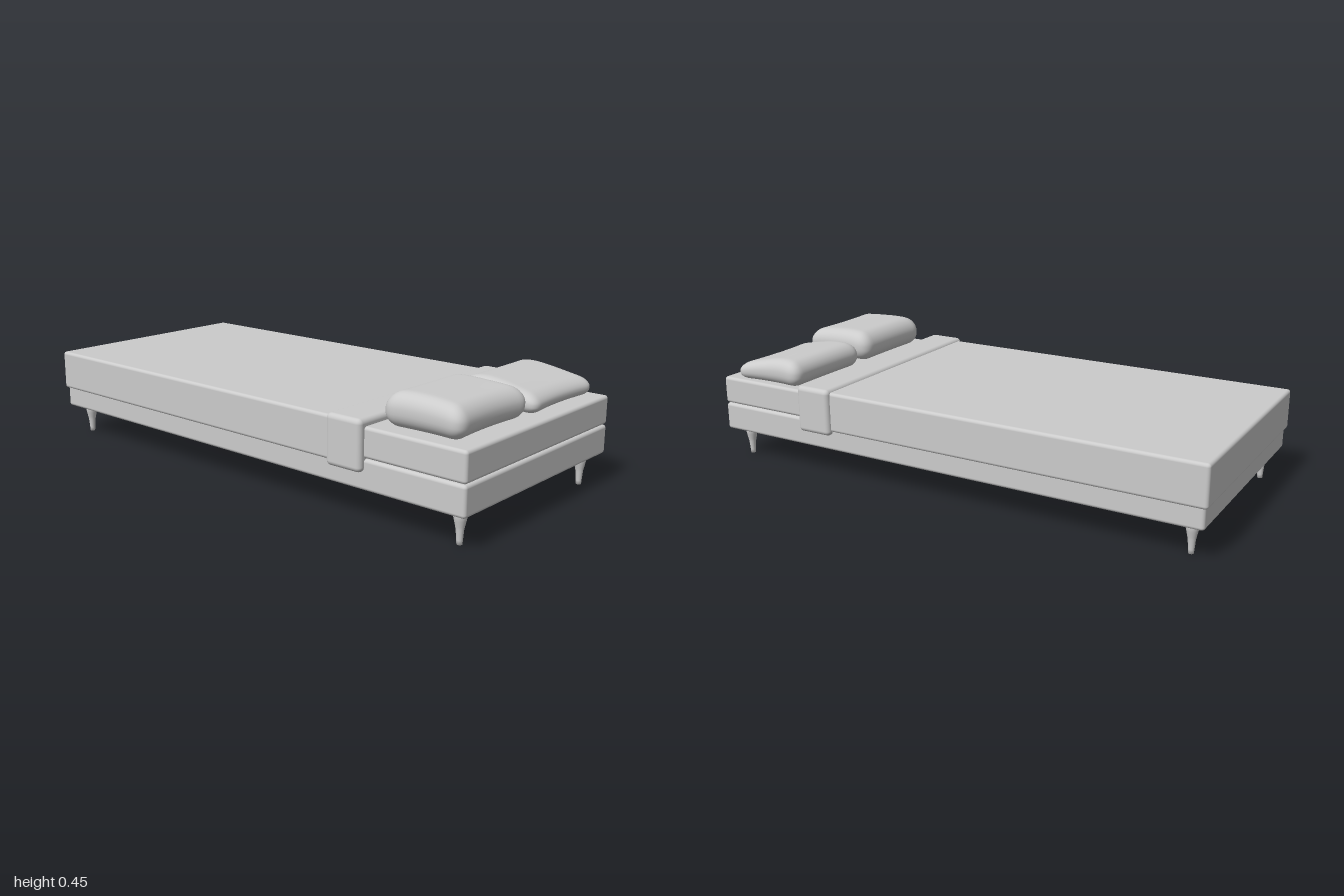
import * as THREE from 'three';
import { RoundedBoxGeometry } from 'three/addons/geometries/RoundedBoxGeometry.js';
import { mergeVertices } from 'three/addons/utils/BufferGeometryUtils.js';

const material = new THREE.MeshStandardMaterial({ color: 0xcccccc });

function add(group, name, geometry, x = 0, y = 0, z = 0) {
  const mesh = new THREE.Mesh(geometry, material);
  mesh.name = name;
  mesh.position.set(x, y, z);
  group.add(mesh);
  return mesh;
}

// Soft-edged block given by half width, y range and z range
function block(group, name, halfX, y0, y1, z0, z1, radius) {
  const geometry = new RoundedBoxGeometry(halfX * 2, y1 - y0, z1 - z0, 4, radius);
  add(group, name, geometry, 0, (y0 + y1) / 2, (z0 + z1) / 2);
}

// Cushion: rounded block with pinched sides and a top sloping down to the front
function pillowGeometry(width, height, depth, frontDrop) {
  const half = new THREE.Vector3(width / 2, height / 2, depth / 2);
  const radius = height * 0.46;
  const inner = half.clone().subScalar(radius);
  let geometry = new THREE.BoxGeometry(width, height, depth, 32, 12, 28);
  geometry.deleteAttribute('normal');
  geometry.deleteAttribute('uv');
  geometry = mergeVertices(geometry);
  const pos = geometry.attributes.position;
  const p = new THREE.Vector3(), core = new THREE.Vector3();
  for (let i = 0; i < pos.count; i++) {
    p.fromBufferAttribute(pos, i);
    core.copy(p).clamp(inner.clone().negate(), inner);
    p.sub(core).setLength(radius).add(core);
    const u = p.x / half.x, w = p.z / half.z;
    const up = (p.y + half.y) / height;
    // Side pinch, stronger at the front, and corners that flare out
    p.x *= 1 - 0.06 * (1 - w * w);
    p.z *= 1 - (w > 0 ? 0.11 : 0.03) * (1 - u * u);
    // Sloped, gently crowned top
    const slope = frontDrop * THREE.MathUtils.smoothstep(w, -0.6, 1);
    const edgeDip = 0.012 * Math.pow(Math.abs(w), 3);
    p.y -= up * (slope + edgeDip);
    pos.setXYZ(i, p.x, p.y, p.z);
  }
  geometry.computeVertexNormals();
  return geometry;
}

export function createModel() {
  const bed = new THREE.Group();
  bed.name = 'bed';

  // Stacked base and mattress
  block(bed, 'base', 0.446, 0.113, 0.22, -0.99, 1, 0.012);
  block(bed, 'mattress', 0.446, 0.222, 0.328, -0.99, 1, 0.012);

  // Blanket with its turned-down fold
  block(bed, 'blanket', 0.455, 0.19, 0.343, -1, 0.5, 0.012);
  block(bed, 'blanketFold', 0.47, 0.175, 0.354, 0.465, 0.612, 0.018);

  // Pillows
  add(bed, 'rightPillow', pillowGeometry(0.415, 0.124, 0.315, 0.008), -0.202, 0.385, 0.793);
  add(bed, 'leftPillow', pillowGeometry(0.415, 0.104, 0.31, 0.03), 0.23, 0.373, 0.795);

  // Turned, tapering legs
  const profile = [
    [0, 0], [0.0095, 0], [0.0105, 0.015], [0.0135, 0.05], [0.016, 0.062],
    [0.02, 0.08], [0.0225, 0.092], [0.0235, 0.118], [0, 0.118],
  ].map(([r, y]) => new THREE.Vector2(r, y));
  const legGeometry = new THREE.LatheGeometry(profile, 24);
  for (const [side, x] of [['left', 0.378], ['right', -0.378]])
    for (const [end, z] of [['Front', 0.94], ['Back', -0.93]])
      add(bed, side + end + 'Leg', legGeometry, x, 0, z);

  return bed;
}
